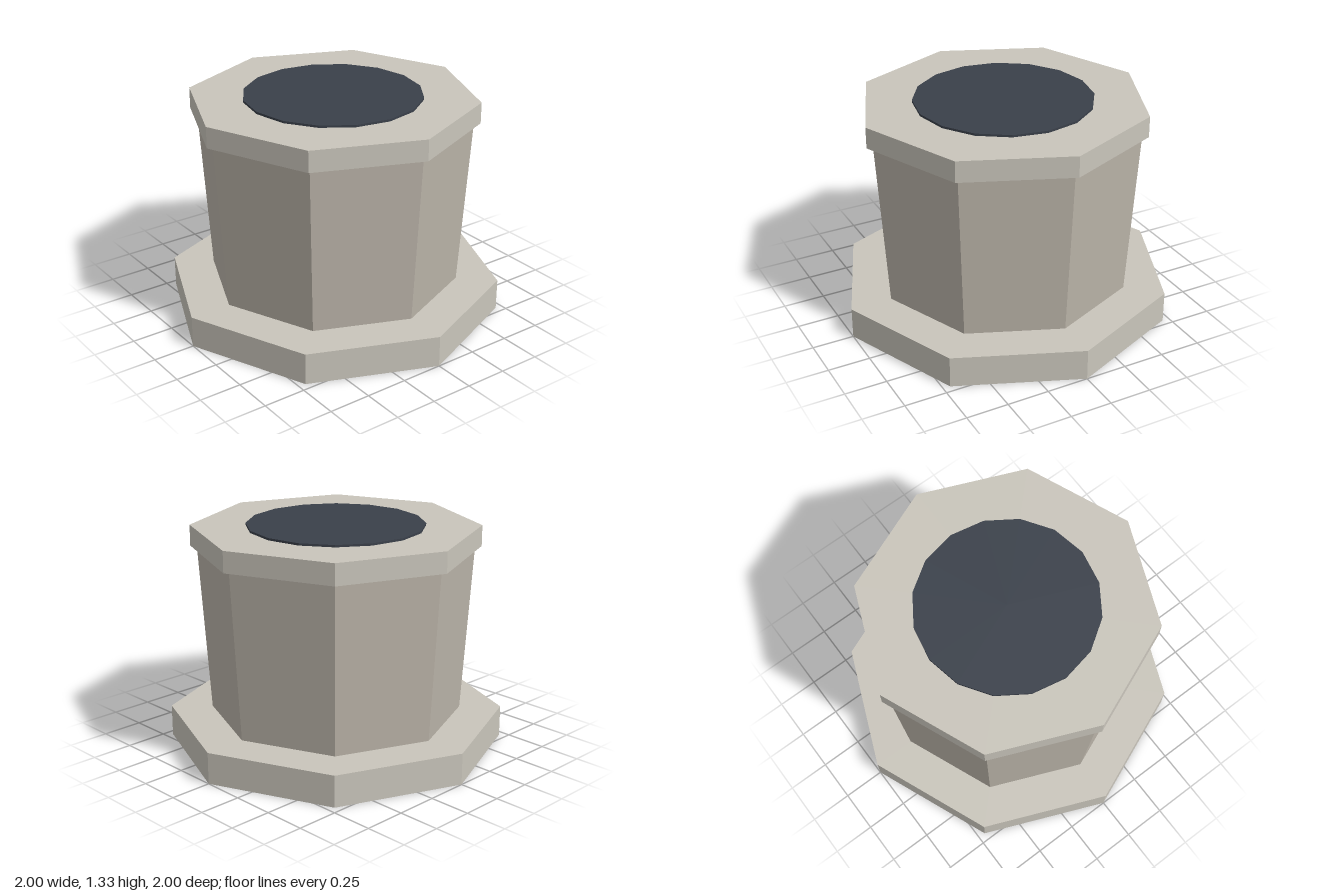
import * as THREE from 'three';

export function createModel() {
  const model = new THREE.Group();
  model.name = 'pedestal';

  const stone = new THREE.MeshStandardMaterial({ color: 0xc9c5bb, flatShading: true });
  const warmStone = new THREE.MeshStandardMaterial({ color: 0xbcb5aa, flatShading: true });
  const dark = new THREE.MeshStandardMaterial({ color: 0x3a404a, flatShading: true });

  // Upright prism between two heights, with a corner facing the front
  function addPrism(name, bottomRadius, topRadius, y0, y1, sides, material) {
    const geometry = new THREE.CylinderGeometry(topRadius, bottomRadius, y1 - y0, sides);
    const mesh = new THREE.Mesh(geometry, material);
    mesh.name = name;
    mesh.position.y = (y0 + y1) / 2;
    model.add(mesh);
  }

  addPrism('base', 1, 1, 0, 0.188, 8, stone);
  // Body flares gently towards the rim
  addPrism('body', 0.75, 0.812, 0.188, 1.192, 8, warmStone);
  addPrism('rim', 0.85, 0.85, 1.192, 1.317, 8, stone);
  // Thin dark disc lying on the rim
  addPrism('topDisc', 0.524, 0.524, 1.312, 1.33, 16, dark);

  return model;
}
